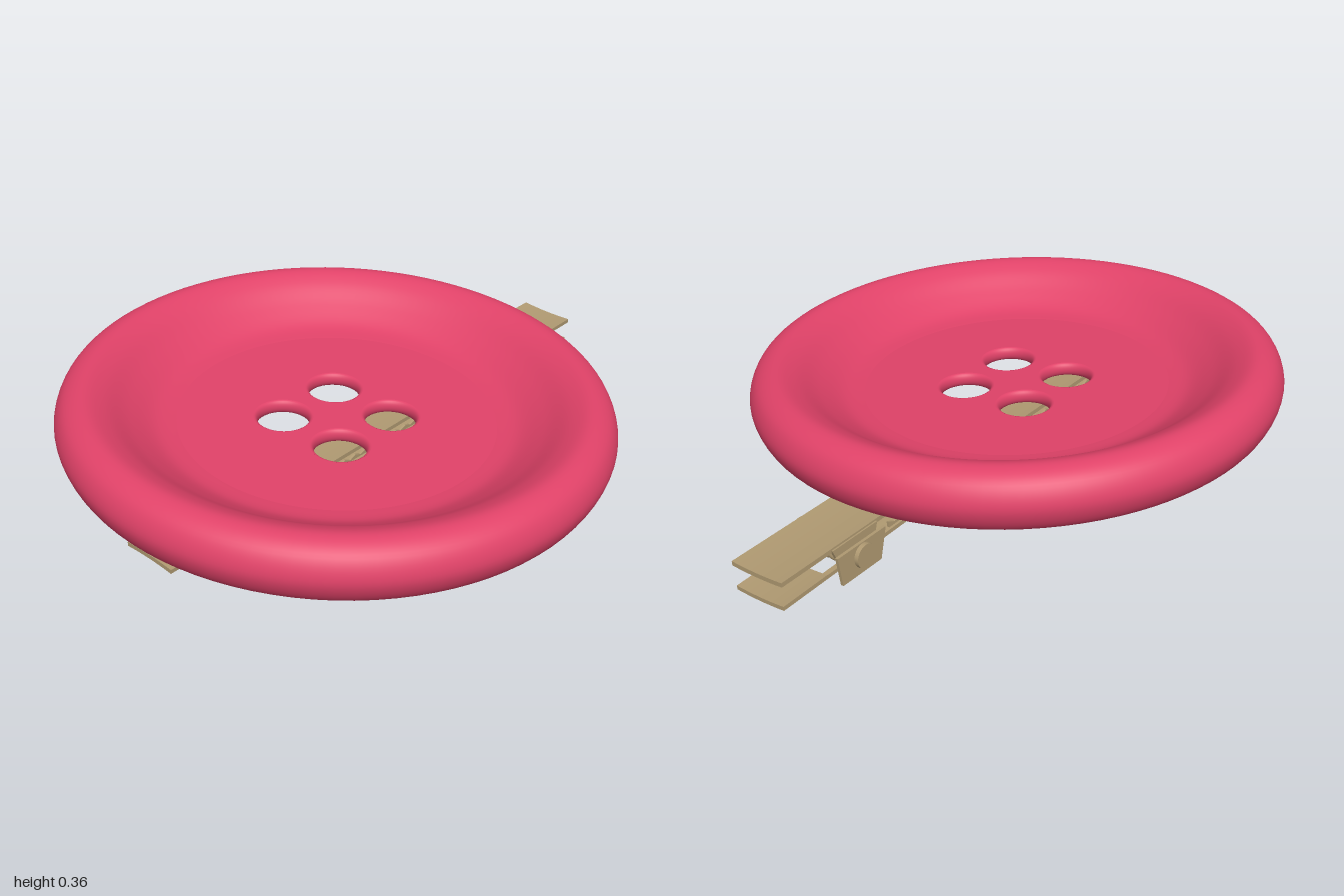
import * as THREE from 'three';

const pink = new THREE.MeshStandardMaterial({ name: 'pink plastic', color: 0xe04268, side: THREE.DoubleSide });
const brass = new THREE.MeshStandardMaterial({ name: 'dull brass', color: 0xb09a72 });

const TOP = -0.03, BOTTOM = -0.075; // faces of the thin button centre
const HOLE = 0.08, LIP = 0.014, SPACING = 0.119;
const v = (x, y) => new THREE.Vector2(x, y);

function add(parent, name, geometry, material, x = 0, y = 0, z = 0) {
  const mesh = new THREE.Mesh(geometry, material);
  mesh.name = name;
  mesh.position.set(x, y, z);
  parent.add(mesh);
  return mesh;
}

function createButton() {
  const button = new THREE.Group();
  button.name = 'button';

  // Rounded rim, dished towards the centre
  const profile = new THREE.SplineCurve([
    v(0.5, BOTTOM), v(0.6, -0.078), v(0.7, -0.094), v(0.77, -0.1), v(0.835, -0.072),
    v(0.865, 0), v(0.84, 0.068), v(0.78, 0.098), v(0.715, 0.077), v(0.64, 0.025),
    v(0.565, -0.018), v(0.5, TOP),
  ]);
  add(button, 'rim', new THREE.LatheGeometry(profile.getPoints(66), 96), pink);

  // Flat centre faces with four holes
  const disc = new THREE.Shape().absarc(0, 0, 0.5, 0, Math.PI * 2);
  const centres = [];
  for (const x of [-SPACING, SPACING]) for (const z of [-SPACING, SPACING]) centres.push([x, z]);
  for (const [x, z] of centres) {
    disc.holes.push(new THREE.Path().absarc(x, z, HOLE + LIP, 0, Math.PI * 2, true));
  }
  const face = new THREE.ShapeGeometry(disc, 48);
  add(button, 'centreTop', face.clone().rotateX(-Math.PI / 2), pink, 0, TOP);
  add(button, 'centreBottom', face.clone().rotateX(Math.PI / 2), pink, 0, BOTTOM);

  // Rounded hole walls
  const wall = [];
  const mid = (TOP + BOTTOM) / 2, half = (TOP - BOTTOM) / 2;
  for (let i = 0; i <= 12; i++) {
    const a = Math.PI * (0.5 - i / 12);
    wall.push(v(HOLE + LIP - LIP * Math.cos(a), mid + half * Math.sin(a)));
  }
  const wallGeometry = new THREE.LatheGeometry(wall, 48);
  for (const [x, z] of centres) add(button, 'holeWall', wallGeometry, pink, x, 0, z);
  return button;
}

// Thin strip along z, dished across its width by sag
function strip(width, thickness, sag, z0, z1) {
  const w = width / 2, s = new THREE.Shape();
  s.moveTo(-w, 0);
  s.quadraticCurveTo(0, -2 * sag, w, 0);
  s.lineTo(w, thickness);
  s.quadraticCurveTo(0, thickness - 2 * sag, -w, thickness);
  const g = new THREE.ExtrudeGeometry(s, { depth: z1 - z0, bevelEnabled: false, curveSegments: 8 });
  return g.translate(0, 0, z0);
}

// Side plate from a (z, y) outline, centred on x = 0
function sidePlate(points, thickness) {
  const g = new THREE.ExtrudeGeometry(new THREE.Shape(points), { depth: thickness, bevelEnabled: false });
  return g.rotateY(-Math.PI / 2).translate(thickness / 2, 0, 0);
}

function createClip() {
  const clip = new THREE.Group();
  clip.name = 'hairClip';
  const FRONT = 0.782, BACK = -1.19, PIVOT_Y = -0.166, PIVOT_Z = -0.9;

  add(clip, 'upperPlate', strip(0.19, 0.014, 0.004, BACK, FRONT), brass, 0, -0.114);

  // Lower jaw, opening slightly towards the back, with a window for the spring
  const jaw = new THREE.Group();
  jaw.name = 'lowerJaw';
  jaw.position.set(0, -0.186, PIVOT_Z);
  jaw.rotation.x = -0.0188;
  clip.add(jaw);
  add(jaw, 'lowerPlate', strip(0.18, 0.013, -0.004, 0.04, FRONT - PIVOT_Z), brass);
  add(jaw, 'lowerTail', strip(0.18, 0.013, 0.004, BACK - PIVOT_Z, -0.12), brass);

  // Scalloped gripping edges
  const teeth = [v(0.15, 0)];
  for (let i = 0; i <= 120; i++) {
    const t = i / 120;
    teeth.push(v(0.15 + 1.5 * t, 0.027 - 0.006 * t + 0.005 * Math.cos(i * Math.PI / 2)));
  }
  teeth.push(v(1.65, 0));
  const teethGeometry = sidePlate(teeth, 0.008);

  const lowerLug = sidePlate([v(-0.09, -0.22), v(0.07, -0.22), v(0.1, -0.125), v(-0.1, -0.125)], 0.01);
  const upperLug = sidePlate([v(-0.06, -0.205), v(0.05, -0.205), v(0.085, -0.106), v(-0.1, -0.106)], 0.01);
  const head = new THREE.CylinderGeometry(0.038, 0.038, 0.014, 24).rotateZ(Math.PI / 2);
  for (const side of [-1, 1]) {
    add(jaw, 'teeth', teethGeometry, brass, side * 0.078);
    add(jaw, 'windowEdge', new THREE.BoxGeometry(0.018, 0.012, 0.17), brass, side * 0.081, 0.006, -0.04);
    add(clip, 'outerLug', lowerLug, brass, side * 0.112, 0, PIVOT_Z);
    add(clip, 'innerLug', upperLug, brass, side * 0.095, 0, PIVOT_Z);
    add(clip, 'pinHead', head, brass, side * 0.124, PIVOT_Y, PIVOT_Z);
  }

  // Hinge pin and coil spring
  const pin = new THREE.CylinderGeometry(0.014, 0.014, 0.24, 16).rotateZ(Math.PI / 2);
  add(clip, 'hingePin', pin, brass, 0, PIVOT_Y, PIVOT_Z);
  const coil = [];
  const turns = 5, steps = 12;
  for (let i = 0; i <= turns * steps; i++) {
    const a = i / steps * Math.PI * 2;
    coil.push(new THREE.Vector3(-0.075 + 0.15 * i / (turns * steps), 0.04 * Math.cos(a), 0.04 * Math.sin(a)));
  }
  const spring = new THREE.TubeGeometry(new THREE.CatmullRomCurve3(coil), 160, 0.007, 8);
  add(clip, 'spring', spring, brass, 0, PIVOT_Y, PIVOT_Z);
  return clip;
}

export function createModel() {
  const model = new THREE.Group();
  model.name = 'buttonHairClip';
  const tilted = new THREE.Group();
  tilted.name = 'tiltedAssembly';
  tilted.add(createButton(), createClip());
  tilted.rotation.set(0, -0.42, -0.0515);
  tilted.position.set(0, 0.227, 0.13);
  model.add(tilted);
  return model;
}
